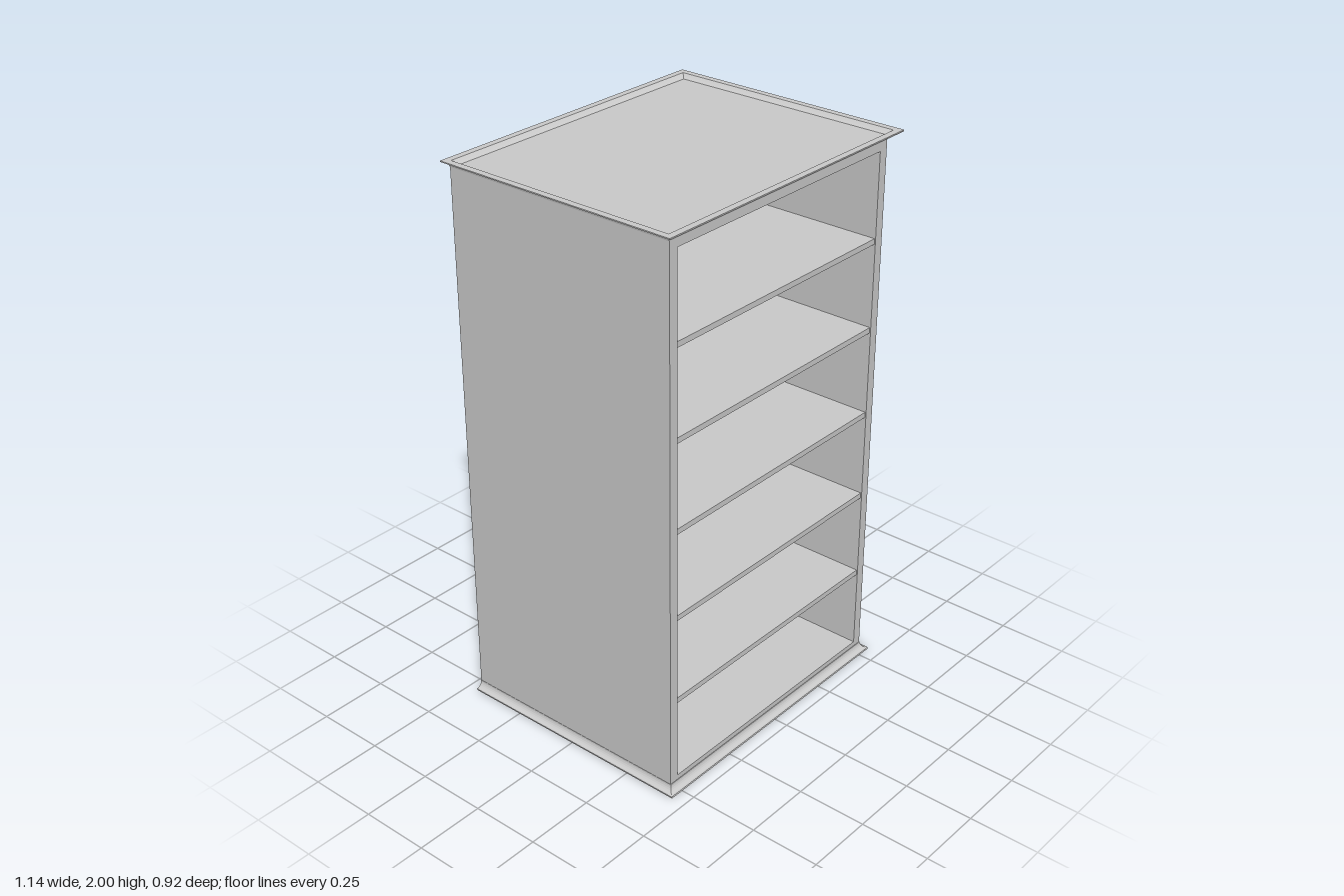
import * as THREE from 'three';

const material = new THREE.MeshStandardMaterial({ color: 0xcccccc });
const BACK = -0.46, FRONT = 0.425, HALF = 0.53, WALL = 0.035;

// Box given by its min and max corners
function panel(name, [x0, y0, z0], [x1, y1, z1]) {
  const mesh = new THREE.Mesh(new THREE.BoxGeometry(x1 - x0, y1 - y0, z1 - z0), material);
  mesh.position.set((x0 + x1) / 2, (y0 + y1) / 2, (z0 + z1) / 2);
  mesh.name = name;
  return mesh;
}

// Stack of rectangles [halfWidth, zBack, zFront, y], skinned and capped at both ends
function moulding(name, sections) {
  const pos = [];
  const rings = sections.map(([w, zb, zf, y]) => [[-w, y, zf], [w, y, zf], [w, y, zb], [-w, y, zb]]);
  const quad = (a, b, c, d) => pos.push(...a, ...b, ...c, ...a, ...c, ...d);
  for (let i = 0; i < rings.length - 1; i++) {
    for (let k = 0; k < 4; k++) {
      const n = (k + 1) % 4;
      quad(rings[i][k], rings[i][n], rings[i + 1][n], rings[i + 1][k]);
    }
  }
  quad(...rings[rings.length - 1]);
  quad(...[...rings[0]].reverse());
  const geo = new THREE.BufferGeometry();
  geo.setAttribute('position', new THREE.Float32BufferAttribute(pos, 3));
  geo.computeVertexNormals();
  const mesh = new THREE.Mesh(geo, material);
  mesh.name = name;
  return mesh;
}

export function createModel() {
  const group = new THREE.Group();
  group.name = 'bookcase';
  const inner = HALF - WALL;

  // Carcass
  group.add(
    panel('leftSide', [inner, 0.005, BACK], [HALF, 1.975, FRONT]),
    panel('rightSide', [-HALF, 0.005, BACK], [-inner, 1.975, FRONT]),
    panel('topRail', [-inner, 1.94, BACK], [inner, 1.975, FRONT]),
    panel('bottomBoard', [-inner, 0.005, BACK], [inner, 0.05, FRONT]),
    panel('backPanel', [-inner, 0.05, BACK], [inner, 1.94, BACK + 0.02])
  );

  // Five evenly spaced shelves
  for (let i = 0; i < 5; i++) {
    const y = 0.34 + i * 0.32;
    group.add(panel('shelf', [-inner, y, BACK + 0.02], [inner, y + 0.02, FRONT - 0.004]));
  }

  const STEPS = 6;
  // Cornice: cove flaring out on front and sides, flat rim, shallow recessed top
  const cornice = [];
  for (let i = 0; i <= STEPS; i++) {
    const a = (i / STEPS) * Math.PI / 2;
    const out = 0.036 * (1 - Math.cos(a));
    cornice.push([HALF + 0.002 + out, BACK, FRONT + out, 1.97 + 0.025 * Math.sin(a)]);
  }
  cornice.push([0.57, BACK, 0.46, 1.996], [0.57, BACK, 0.46, 2], [0.546, -0.436, 0.436, 2],
    [0.538, -0.428, 0.428, 1.992], [0.53, -0.42, 0.42, 1.985]);
  group.add(moulding('cornice', cornice));

  // Plinth: small foot with a cove rising into the carcass
  const plinth = [[0.552, BACK, 0.45, 0]];
  for (let i = 0; i <= STEPS; i++) {
    const a = (i / STEPS) * Math.PI / 2;
    const out = 0.022 * (1 - Math.sin(a));
    plinth.push([HALF + 0.001 + out, BACK, FRONT + 0.002 + out, 0.006 + 0.026 * (1 - Math.cos(a))]);
  }
  group.add(moulding('plinth', plinth));

  return group;
}
